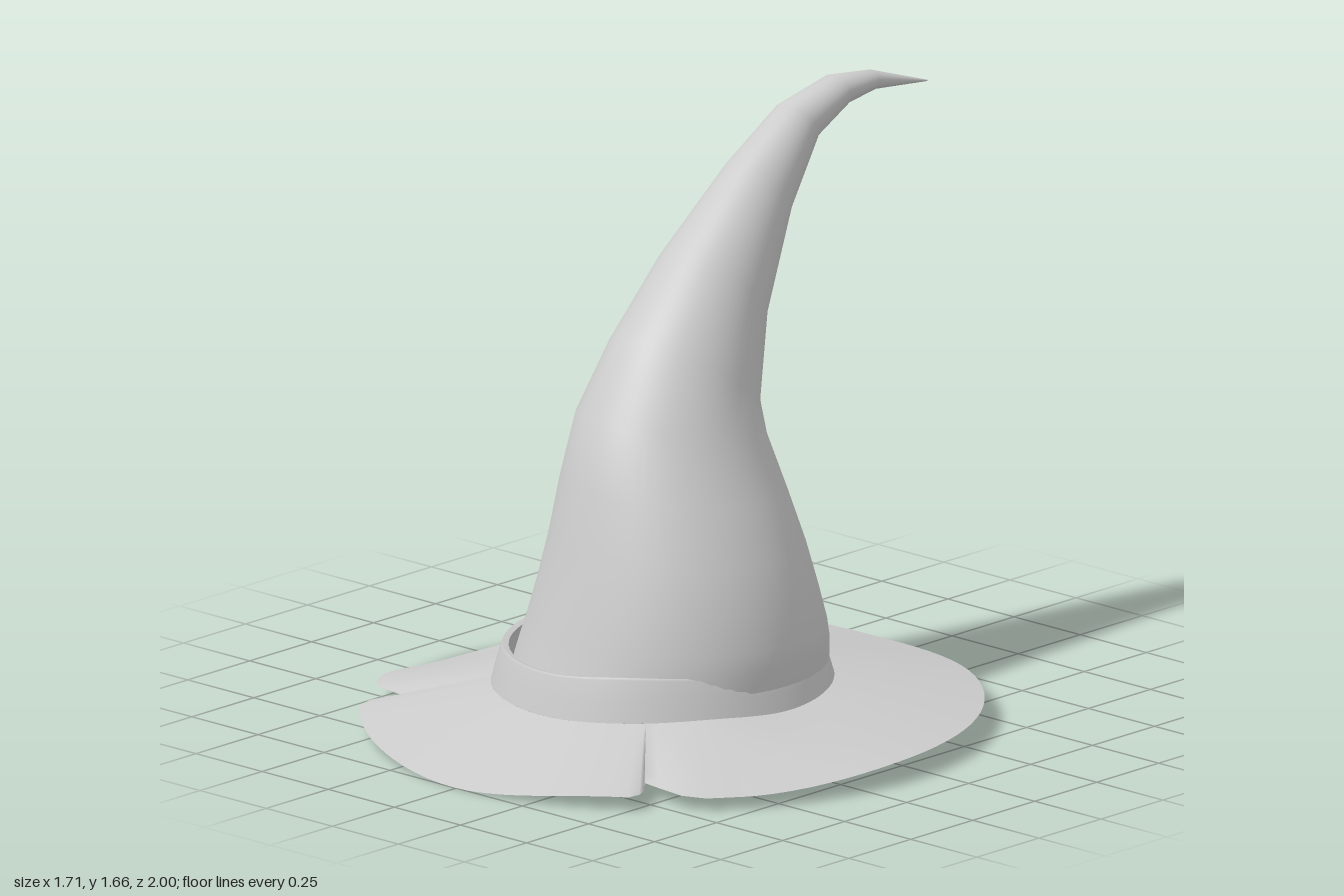
import * as THREE from 'three';

const SEG = 64;
const TAU = Math.PI * 2;
const material = new THREE.MeshStandardMaterial({ color: 0xcccccc, side: THREE.DoubleSide });

// Smooth skin over closed loops of points
function loft(name, loops) {
  const n = loops[0].length, index = [];
  for (let r = 0; r < loops.length - 1; r++) {
    for (let i = 0; i < n; i++) {
      const a = r * n + i, b = r * n + (i + 1) % n;
      index.push(a, a + n, b, b, a + n, b + n);
    }
  }
  const geometry = new THREE.BufferGeometry().setFromPoints(loops.flat());
  geometry.setIndex(index);
  geometry.computeVertexNormals();
  const mesh = new THREE.Mesh(geometry, material);
  mesh.name = name;
  return mesh;
}

// Smooth periodic height from evenly spaced values around the circle
function wave(values, angle) {
  const n = values.length, t = ((angle / TAU) % 1 + 1) % 1 * n;
  const i = Math.floor(t), f = t - i, v = k => values[(i + k + n) % n];
  const a = v(-1), b = v(0), c = v(1), d = v(2);
  return b + 0.5 * f * (c - a + f * (2 * a - 5 * b + 4 * c - d + f * (3 * (b - c) + d - a)));
}

const angles = Array.from({ length: SEG }, (_, i) => i / SEG * TAU);

// Heights every 30 degrees, from +x towards +z
const EDGE = [0.065, 0.04, 0.043, 0.004, 0.03, 0.057, 0.008, 0.03, 0.065, 0.052, 0.068, 0.07];
const BASE = [0.125, 0.138, 0.128, 0.115, 0.115, 0.115, 0.115, 0.115, 0.122, 0.135, 0.135, 0.13];
const BAND_TOP = [0.212, 0.245, 0.25, 0.23, 0.225, 0.225, 0.23, 0.235, 0.24, 0.24, 0.235, 0.22];

const ring = (r, a, y) => new THREE.Vector3(-0.04 + r * Math.cos(a), y, 0.125 + r * Math.sin(a));

// Brim outline: arcs joined by two torn notches, each point [x, z]
function brimOutline() {
  const arc = (from, to, count) => Array.from({ length: count }, (_, i) => {
    const a = (from + (to - from) * i / (count - 1)) * Math.PI / 180;
    const r = 0.857 + 0.013 * Math.sin(a) ** 2;
    return [r * Math.cos(a), 0.13 + r * Math.sin(a)];
  });
  return [
    ...arc(-200, 32, 60),
    [0.7, 0.625], [0.655, 0.69], [0.59, 0.722], [0.5, 0.715], [0.44, 0.708],
    [0.49, 0.765], [0.505, 0.8], [0.5, 0.84],
    ...arc(58, 134, 22),
    [-0.63, 0.715], [-0.64, 0.665], [-0.61, 0.62], [-0.58, 0.585],
    [-0.62, 0.576], [-0.69, 0.57], [-0.73, 0.545], [-0.775, 0.48],
  ];
}

function makeBrim() {
  const outline = brimOutline();
  const loops = [];
  for (let k = 0; k <= 6; k++) {
    const t = k / 6;
    loops.push(outline.map(([x, z]) => {
      const a = Math.atan2(z - 0.13, x);
      const outer = new THREE.Vector3(x, wave(EDGE, a), z);
      return outer.lerp(ring(0.474, a, wave(BASE, a)), t);
    }));
  }
  return loft('brim', loops);
}

function makeBand() {
  const at = (r, t, drop = 0) => angles.map(a =>
    ring(r, a, THREE.MathUtils.lerp(wave(BASE, a), wave(BAND_TOP, a), t) - drop));
  const band = new THREE.Group();
  band.name = 'hatBand';
  band.add(loft('bandWall', [at(0.474, 0), at(0.46, 0.5), at(0.446, 0.95), at(0.442, 1)]));
  band.add(loft('bandLip', [at(0.442, 1), at(0.425, 1, 0.004)]));
  return band;
}

// Bent cone: each ring is [front z, front y, back z, back y, min x, max x]
function makeCrown() {
  const rings = [
    [0.545, 0.19, -0.32, 0.19, -0.455, 0.42],
    [0.53, 0.25, -0.31, 0.25, -0.44, 0.425],
    [0.515, 0.31, -0.295, 0.3, -0.422, 0.423],
    [0.49, 0.42, -0.265, 0.4, -0.39, 0.402],
    [0.455, 0.55, -0.235, 0.52, -0.362, 0.365],
    [0.415, 0.71, -0.215, 0.65, -0.337, 0.295],
    [0.35, 0.9, -0.2, 0.79, -0.308, 0.2],
    [0.2, 1.1, -0.208, 0.85, -0.288, 0.135],
    [-0.01, 1.3, -0.28, 1.07, -0.262, 0.06],
    [-0.28, 1.5, -0.43, 1.33, -0.233, -0.022],
    [-0.48, 1.62, -0.57, 1.51, -0.21, -0.068],
    [-0.66, 1.668, -0.69, 1.58, -0.183, -0.075],
    [-0.8, 1.655, -0.8, 1.6, -0.147, -0.085],
    [-1, 1.587, -1, 1.583, -0.097, -0.092],
  ];
  return loft('crown', rings.map(([zf, yf, zb, yb, x0, x1]) => angles.map(a => {
    const c = Math.cos(a), s = Math.sin(a);
    return new THREE.Vector3(
      (x0 + x1) / 2 + c * (x1 - x0) / 2,
      (yf + yb) / 2 + s * (yf - yb) / 2,
      (zf + zb) / 2 + s * (zf - zb) / 2);
  })));
}

export function createModel() {
  const hat = new THREE.Group();
  hat.name = 'pointedHat';
  hat.add(makeBrim(), makeBand(), makeCrown());
  return hat;
}
